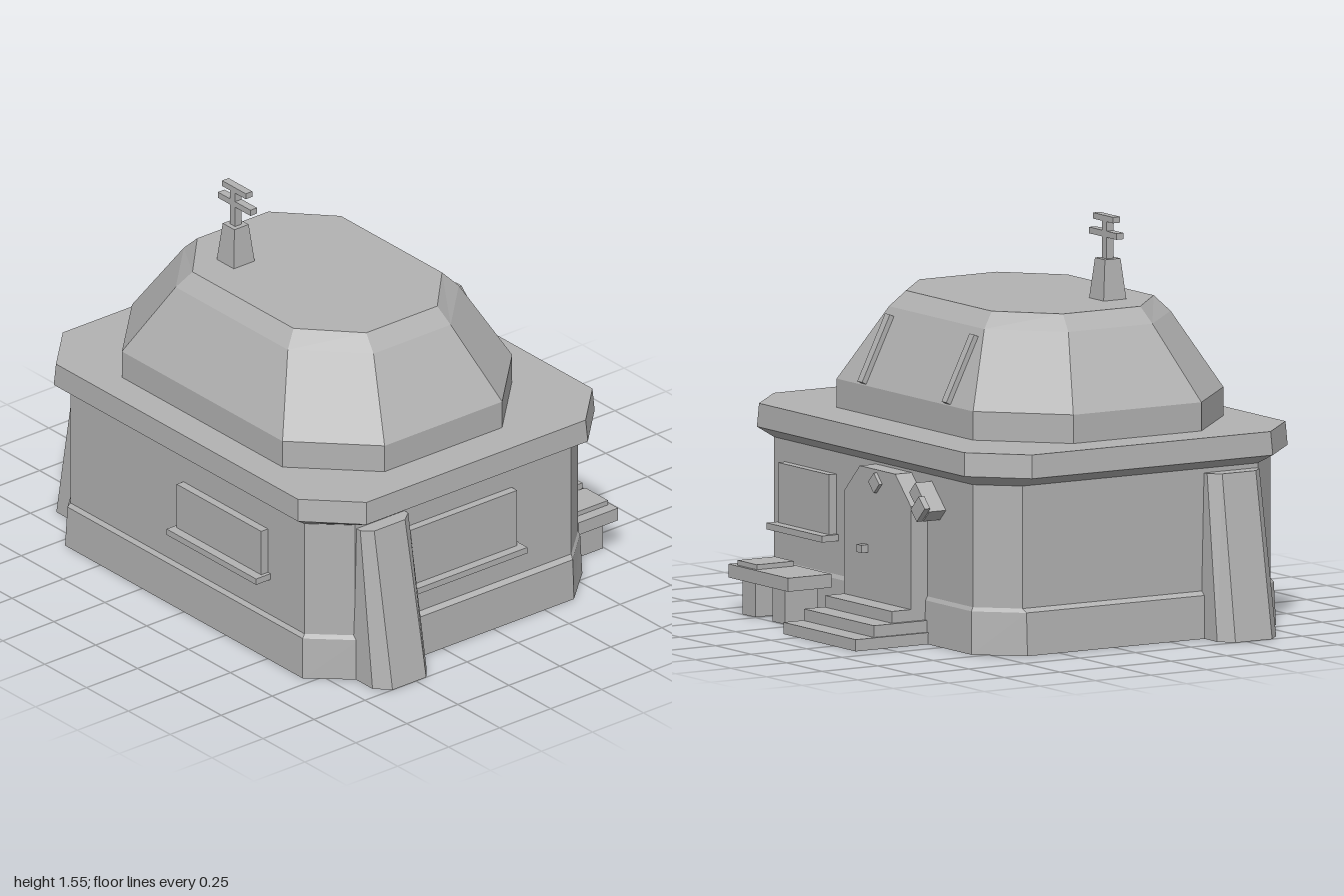
import * as THREE from 'three';

const stone = new THREE.MeshStandardMaterial({ color: 0xb2b2b2, flatShading: true, side: THREE.DoubleSide });
stone.name = 'pale grey';

function add(parent, name, geometry, x = 0, y = 0, z = 0) {
  const mesh = new THREE.Mesh(geometry, stone);
  mesh.name = name;
  mesh.position.set(x, y, z);
  parent.add(mesh);
  return mesh;
}

// Box given by its limits on each axis
function block(parent, name, x0, x1, y0, y1, z0, z1) {
  return add(parent, name, new THREE.BoxGeometry(x1 - x0, y1 - y0, z1 - z0),
    (x0 + x1) / 2, (y0 + y1) / 2, (z0 + z1) / 2);
}

// Chamfered rectangle: half width, z limits, and the chamfer along x and z
function octagon(y, hx, z0, z1, cx, cz) {
  return [[-hx + cx, z1], [hx - cx, z1], [hx, z1 - cz], [hx, z0 + cz],
    [hx - cx, z0], [-hx + cx, z0], [-hx, z0 + cz], [-hx, z1 - cz]].map(([x, z]) => [x, y, z]);
}

// Skin over stacked rings, with optional flat ends
function loft(rings, bottom, top) {
  const p = [];
  const n = rings[0].length;
  for (let r = 0; r < rings.length - 1; r++) {
    for (let i = 0; i < n; i++) {
      const j = (i + 1) % n, a = rings[r], b = rings[r + 1];
      p.push(...a[i], ...a[j], ...b[j], ...a[i], ...b[j], ...b[i]);
    }
  }
  const last = rings[rings.length - 1], first = rings[0];
  for (let i = 1; i < n - 1; i++) {
    if (top) p.push(...last[0], ...last[i], ...last[i + 1]);
    if (bottom) p.push(...first[0], ...first[i + 1], ...first[i]);
  }
  const g = new THREE.BufferGeometry();
  g.setAttribute('position', new THREE.Float32BufferAttribute(p, 3));
  g.computeVertexNormals();
  return g;
}

// Projecting window panel with a sill; built facing +z, origin at the sill top on the wall
function windowUnit(parent, name, width, height, sillWidth, sillDepth) {
  const g = new THREE.Group();
  g.name = name;
  block(g, 'windowPanel', -width / 2, width / 2, 0, height, -0.01, 0.033);
  block(g, 'windowSill', -sillWidth / 2, sillWidth / 2, -0.025, 0, -0.01, sillDepth);
  parent.add(g);
  return g;
}

export function createModel() {
  const house = new THREE.Group();
  house.name = 'house';

  // Walls with a plinth, open underneath
  add(house, 'walls', loft([
    octagon(0, 0.855, -0.553, 0.818, 0.145, 0.16),
    octagon(0.165, 0.848, -0.548, 0.812, 0.145, 0.155),
    octagon(0.18, 0.83, -0.54, 0.8, 0.13, 0.14),
    octagon(0.65, 0.83, -0.54, 0.8, 0.13, 0.14),
  ], false, true));

  // Eaves slab
  add(house, 'eaves', loft([
    octagon(0.65, 0.83, -0.54, 0.8, 0.13, 0.14),
    octagon(0.69, 0.915, -0.597, 0.857, 0.185, 0.185),
    octagon(0.78, 0.908, -0.592, 0.852, 0.185, 0.185),
  ], false, true));

  // Domed roof
  add(house, 'roof', loft([
    octagon(0.78, 0.755, -0.398, 0.728, 0.275, 0.275),
    octagon(0.89, 0.755, -0.398, 0.728, 0.275, 0.275),
    octagon(1.175, 0.567, -0.255, 0.583, 0.232, 0.23),
    octagon(1.235, 0.505, -0.2, 0.528, 0.203, 0.19),
  ], false, true));

  // Slats on the rear roof slope
  for (const x of [-0.3, 0.293]) {
    const slat = add(house, 'roofSlat', new THREE.BoxGeometry(0.034, 0.28, 0.03), x, 1.022, -0.338);
    slat.rotation.x = Math.atan2(0.143, 0.285);
  }

  // Leaning side buttresses
  for (const s of [-1, 1]) {
    const ring = (y, inner, side, outer, z0, z1, c0, c1) => {
      const pts = [[inner, z1], [side, z1], [outer, c1], [outer, c0], [side, z0], [inner, z0]]
        .map(([x, z]) => [s * x, y, z]);
      return s > 0 ? pts : pts.reverse();
    };
    add(house, 'buttress', loft([
      ring(0, 0.8, 0.945, 1, 0.403, 0.668, 0.45, 0.615),
      ring(0.632, 0.8, 0.852, 0.888, 0.417, 0.652, 0.462, 0.613),
    ], true, true));
  }

  // Rooftop mast with two crossbars
  const pedestal = new THREE.CylinderGeometry(0.035 * Math.SQRT2, 0.051 * Math.SQRT2, 0.155, 4);
  pedestal.rotateY(Math.PI / 4);
  add(house, 'mastPedestal', pedestal, -0.273, 1.3125, 0.34);
  block(house, 'mast', -0.289, -0.257, 1.39, 1.535, 0.324, 0.356);
  block(house, 'upperCrossbar', -0.335, -0.193, 1.532, 1.555, 0.324, 0.356);
  block(house, 'lowerCrossbar', -0.36, -0.165, 1.472, 1.496, 0.324, 0.356);

  // Front, left and rear windows
  windowUnit(house, 'frontWindow', 0.505, 0.185, 0.535, 0.07).position.set(0.228, 0.355, 0.8);
  const left = windowUnit(house, 'leftWindow', 0.53, 0.235, 0.57, 0.07);
  left.position.set(0.83, 0.325, 0.157);
  left.rotation.y = Math.PI / 2;
  const rear = windowUnit(house, 'rearWindow', 0.36, 0.23, 0.39, 0.075);
  rear.position.set(0.44, 0.335, -0.54);
  rear.rotation.y = Math.PI;

  // Rear door with clipped upper corners
  const outline = new THREE.Shape([[-0.38, 0.1], [0.09, 0.1], [0.09, 0.53], [-0.02, 0.64], [-0.27, 0.64], [-0.38, 0.53]]
    .map(([x, y]) => new THREE.Vector2(x, y)));
  add(house, 'door', new THREE.ExtrudeGeometry(outline, { depth: 0.075, bevelEnabled: false }), 0, 0, -0.614);
  block(house, 'doorKnob', -0.08, -0.045, 0.315, 0.345, -0.645, -0.61);
  add(house, 'doorOrnament', new THREE.BoxGeometry(0.055, 0.055, 0.02), -0.14, 0.59, -0.618).rotation.z = Math.PI / 4;

  // Lamp beside the door's clipped corner
  const lamp = new THREE.Group();
  lamp.name = 'doorLamp';
  lamp.position.set(-0.44, 0.555, -0.58);
  lamp.rotation.z = Math.PI / 4;
  block(lamp, 'lampPlate', -0.07, 0.07, -0.03, 0.03, -0.035, 0.04);
  block(lamp, 'lampBox', -0.065, -0.005, -0.035, 0.045, -0.06, -0.035);
  house.add(lamp);

  // Rear steps
  [[-0.38, 0.09, 0.135, -0.7], [-0.395, 0.097, 0.09, -0.79], [-0.405, 0.105, 0.045, -0.878]]
    .forEach(([x0, x1, top, z]) => block(house, 'step', x0, x1, top - 0.045, top, z, -0.545));
  block(house, 'stepBase', -0.38, 0.09, 0, 0.09, -0.7, -0.545);
  block(house, 'stepBase', -0.395, 0.097, 0, 0.045, -0.785, -0.7);

  // Rear bench
  block(house, 'benchSeat', 0.24, 0.66, 0.135, 0.187, -0.77, -0.575);
  block(house, 'benchBoard', 0.48, 0.615, 0.187, 0.206, -0.757, -0.59);
  for (const x of [0.3, 0.51]) block(house, 'benchLeg', x, x + 0.09, 0, 0.135, -0.745, -0.6);

  return house;
}
